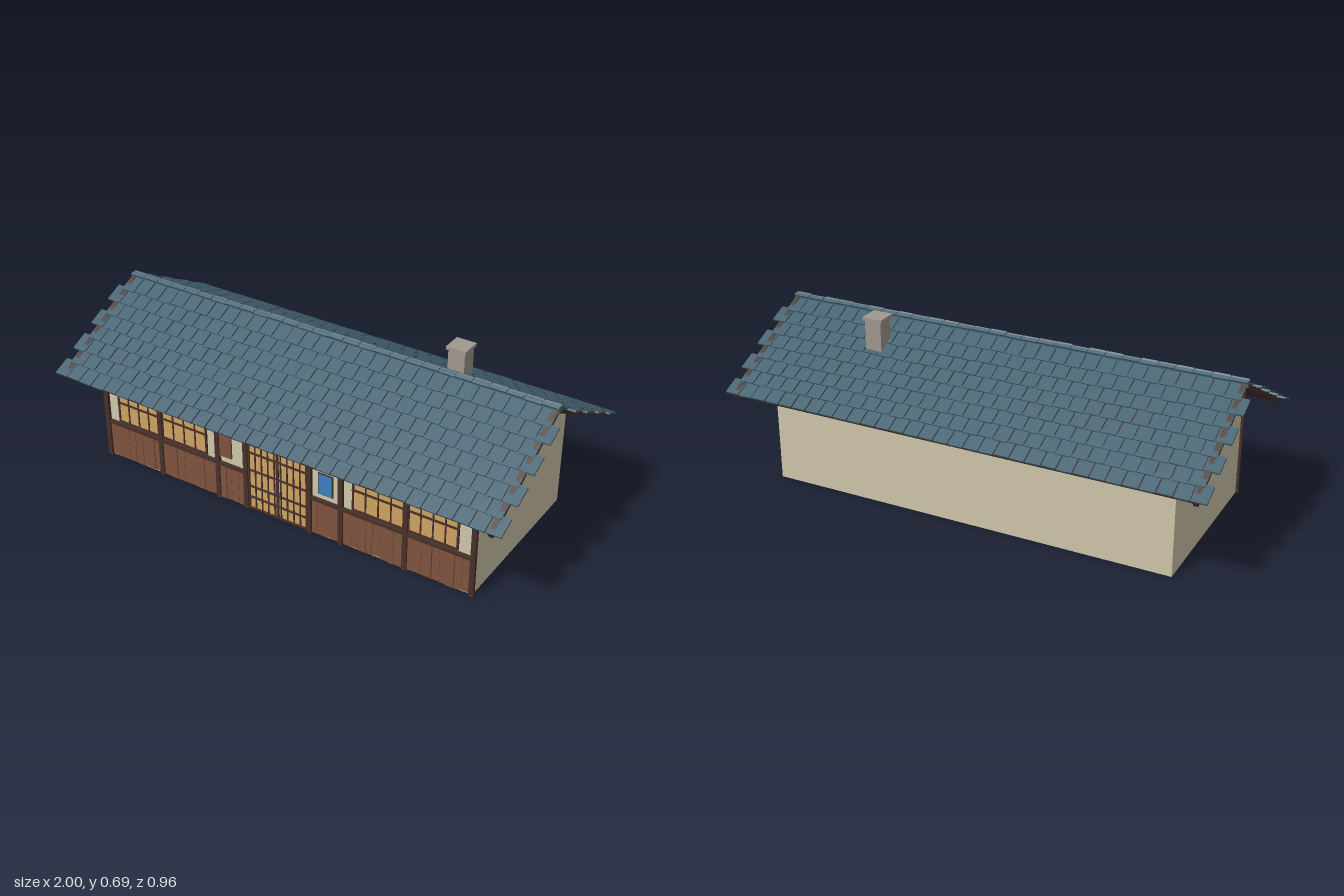
import * as THREE from 'three';
import { mergeGeometries } from 'three/addons/utils/BufferGeometryUtils.js';

const mat = (name, color) => {
  const m = new THREE.MeshStandardMaterial({ color });
  m.name = name;
  return m;
};

// Box spanning the given ranges
const span = (x0, x1, y0, y1, z0, z1) =>
  new THREE.BoxGeometry(x1 - x0, y1 - y0, z1 - z0)
    .translate((x0 + x1) / 2, (y0 + y1) / 2, (z0 + z1) / 2);

export function createModel() {
  const M = {
    plaster: mat('plaster', 0xd0c6ab),
    tile: mat('slateBlueTile', 0x42606f),
    timber: mat('darkTimber', 0x48312a),
    plank: mat('redBrownPlank', 0x80533f),
    paper: mat('warmPaper', 0xcfa361),
    blue: mat('blueNotice', 0x3d80c0),
    stone: mat('chimneyStone', 0xa1978f),
    cream: mat('creamSign', 0xd8d0ba),
  };
  let seed = 7;
  const rnd = () => (seed = (seed * 16807) % 2147483647) / 2147483647;

  const model = new THREE.Group();
  model.name = 'tiledRoofHouse';
  const add = (name, geos, material, parent = model) => {
    const mesh = new THREE.Mesh(Array.isArray(geos) ? mergeGeometries(geos) : geos, material);
    mesh.name = name;
    parent.add(mesh);
    return mesh;
  };

  // Walls with gables, one prism along x
  const profile = new THREE.Shape();
  [[-0.353, 0], [0.353, 0], [0.353, 0.438], [0, 0.63], [-0.353, 0.438]]
    .forEach(([z, y], i) => (i ? profile.lineTo(z, y) : profile.moveTo(z, y)));
  add('walls', new THREE.ExtrudeGeometry(profile, { depth: 1.69, bevelEnabled: false })
    .translate(0, 0, -0.845).rotateY(Math.PI / 2), M.plaster);

  // Gable vents
  for (const s of [-1, 1])
    add('gableVent', new THREE.BoxGeometry(0.008, 0.07, 0.07).translate(s * 0.848, 0.549, 0), M.timber);

  // Timber frame of the front
  const posts = [-0.845, -0.57, -0.285, -0.15, 0.145, 0.285, 0.565, 0.845];
  add('frontPosts', posts.map(x => span(x - 0.01, x + 0.01, 0, 0.43, 0.353, 0.367)), M.timber);
  add('frontBeam', span(-0.855, 0.855, 0.412, 0.435, 0.353, 0.369), M.timber);
  add('frontRails', [[-0.845, -0.15], [0.145, 0.845]]
    .map(([a, b]) => span(a, b, 0.158, 0.172, 0.353, 0.366)), M.timber);

  // Plank skirting in every bay but the door
  const planks = [];
  for (let i = 0; i < posts.length - 1; i++) {
    if (i === 3) continue;
    const a = posts[i] + 0.01, b = posts[i + 1] - 0.01;
    const n = Math.round((b - a) / 0.032);
    const w = (b - a) / n;
    let x = a;
    for (let k = 0; k < n; k++) {
      const end = k === n - 1 ? b : a + (k + 1) * w + (rnd() - 0.5) * 0.012;
      planks.push(span(x, end - 0.0012, 0.002 + rnd() * 0.006, 0.16, 0.353, 0.357 + rnd() * 0.005));
      x = end;
    }
  }
  add('plankSkirting', planks, M.plank);

  // Paper lattice panel with frame, cols x rows of cells
  function lattice(name, x0, x1, y0, y1, cols, rowHeights) {
    const g = new THREE.Group();
    g.name = name;
    add('paperPanel', span(x0, x1, y0, y1, 0.353, 0.357), M.paper, g);
    const bars = [];
    for (let i = 0; i <= cols; i++) {
      const x = x0 + (x1 - x0) * i / cols, h = i % cols ? 0.0025 : 0.004;
      bars.push(span(x - h, x + h, y0, y1, 0.354, 0.361));
    }
    for (const y of [y0, ...rowHeights, y1])
      bars.push(span(x0 - 0.004, x1 + 0.004, y - 0.0035, y + 0.0035, 0.354, 0.3625));
    add('latticeBars', bars, M.timber, g);
    model.add(g);
  }
  lattice('leftBayWindowOuter', 0.575, 0.778, 0.182, 0.357, 4, [0.27]);
  lattice('leftBayWindowInner', 0.338, 0.555, 0.182, 0.357, 4, [0.27]);
  lattice('rightBayWindowInner', -0.56, -0.342, 0.182, 0.357, 4, [0.27]);
  lattice('rightBayWindowOuter', -0.782, -0.58, 0.182, 0.357, 4, [0.27]);
  lattice('slidingDoor', -0.136, 0.131, 0.008, 0.312, 9, [0.06, 0.11, 0.185, 0.265]);
  add('doorCentrePost', span(-0.008, 0.003, 0.008, 0.312, 0.354, 0.362), M.timber);

  // Signs beside the door
  add('creamSign', span(-0.272, -0.215, 0.318, 0.358, 0.353, 0.36), M.cream);
  add('letterBox', span(-0.277, -0.22, 0.2, 0.296, 0.353, 0.362), M.plank);
  add('noticeFrame', span(0.182, 0.248, 0.194, 0.288, 0.353, 0.358), M.timber);
  add('blueNotice', span(0.186, 0.244, 0.198, 0.284, 0.354, 0.361), M.blue);

  // Roof slopes: local z runs down the slope, local y is its normal
  const pitch = Math.atan(0.545);
  for (const [name, turn] of [['frontRoof', 0], ['backRoof', Math.PI]]) {
    const side = new THREE.Group(), slope = new THREE.Group();
    side.name = name;
    slope.name = name + 'Slope';
    side.rotation.y = turn;
    slope.rotation.x = pitch;
    slope.position.y = 0.632;
    side.add(slope);
    model.add(side);

    add('roofDeck', span(-0.955, 0.955, 0, 0.01, 0, 0.525), M.timber, slope);
    add('rakeBoards', [-1, 1].map(s =>
      span(s * 0.955 - 0.009, s * 0.955 + 0.009, -0.004, 0.0205, 0, 0.532)), M.timber, slope);

    // Overlapping courses, every second one shifted by half a tile
    const tiles = [], w = 2 / 32;
    for (let row = 0; row < 8; row++) {
      const n = 32 - (row % 2);
      for (let k = 0; k < n; k++) {
        const cx = (k - (n - 1) / 2) * w;
        const edge = k === 0 || k === n - 1;
        const width = w - 0.003 - (edge ? 0 : rnd() * 0.004);
        const len = 0.079 + (rnd() - 0.5) * 0.008;
        tiles.push(new THREE.BoxGeometry(width, 0.007, len)
          .rotateY(edge ? 0 : (rnd() - 0.5) * 0.04)
          .rotateX(-0.07)
          .translate(cx, 0.0155 + rnd() * 0.0015, 0.531 - row * 0.0645 - 0.0395));
      }
    }
    add('roofTiles', tiles, M.tile, slope);
  }

  // Ridge with short cap tiles along both shoulders
  add('ridge', span(-0.97, 0.97, 0.634, 0.656, -0.014, 0.014), M.tile);
  const caps = [];
  const nCaps = 28, cw = 1.94 / nCaps;
  for (let i = 0; i < nCaps; i++)
    for (const s of [-1, 1])
      caps.push(new THREE.BoxGeometry(cw - 0.003, 0.007, 0.014)
        .rotateX(s * 0.5)
        .translate(-0.97 + (i + 0.5) * cw, 0.653 + rnd() * 0.004, s * 0.011));
  add('ridgeCaps', caps, M.tile);

  // Chimney
  add('chimneyStack', span(0.457, 0.527, 0.53, 0.681, -0.178, -0.107), M.stone);
  add('chimneyCap', span(0.45, 0.534, 0.68, 0.693, -0.184, -0.099), M.stone);

  return model;
}
